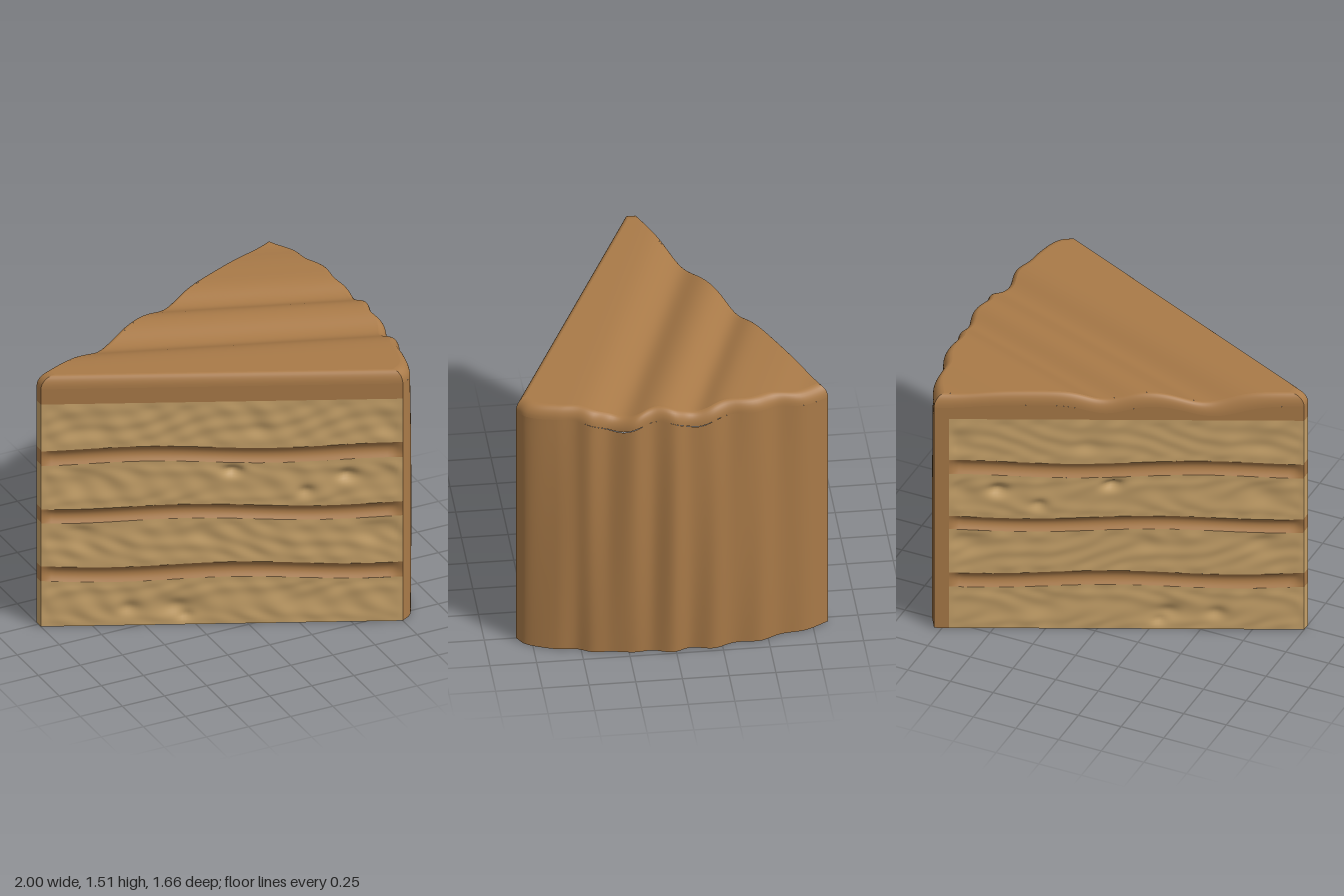
import * as THREE from 'three';

const frosting = new THREE.MeshStandardMaterial({ color: 0xa97a48 });
frosting.name = 'caramel frosting';
const sponge = new THREE.MeshStandardMaterial({ color: 0xc6a169 });
sponge.name = 'golden sponge';

const { lerp, clamp } = THREE.MathUtils;
const bell = (d) => Math.exp(-d * d);

// Wavy outer edge, listed as x, z from the front corner to the back corner
const edge = new THREE.CatmullRomCurve3([
  [0.75, 0.83], [0.82, 0.785], [0.885, 0.63], [0.905, 0.53], [0.945, 0.45], [0.945, 0.35], [0.98, 0.22],
  [0.965, 0.12], [0.995, 0.01], [0.97, -0.08], [0.98, -0.2], [0.95, -0.3], [0.94, -0.45],
  [0.89, -0.56], [0.865, -0.7], [0.79, -0.835],
].map(([x, z]) => new THREE.Vector3(x, 0, z)));

// Plan position: t runs from the tip to the outer edge, w from the front cut to the back cut
function plan(t, w, y) {
  const o = edge.getPoint(w);
  const mid = Math.min(1, 4 * w, 4 * (1 - w));
  const bulge = (-0.035 * ((y - 0.5) / 0.95) ** 2 + 0.006 * Math.sin(o.z * 22 + y * 2.5)) * mid;
  return [lerp(-1, o.x + bulge, t), lerp(lerp(0.03, -0.02, w), o.z, t)];
}

// Slanted waves on the top icing
function topHeight(x, z) {
  const u = z - 0.35 * (x - 0.92);
  return 1.512 - 0.065 * bell((u - 0.3) / 0.14) - 0.05 * bell((u + 0.12) / 0.11) - 0.02 * bell((u + 0.75) / 0.15);
}

// Surface from a rule of two parameters in 0..1
function grid(name, material, nu, nv, rule) {
  const pos = [], index = [];
  for (let j = 0; j <= nv; j++) for (let i = 0; i <= nu; i++) pos.push(...rule(i / nu, j / nv));
  for (let j = 0; j < nv; j++) for (let i = 0; i < nu; i++) {
    const a = j * (nu + 1) + i, b = a + 1, c = a + nu + 1, d = c + 1;
    index.push(a, b, d, a, d, c);
  }
  const geo = new THREE.BufferGeometry();
  geo.setAttribute('position', new THREE.Float32BufferAttribute(pos, 3));
  geo.setIndex(index);
  geo.computeVertexNormals();
  const mesh = new THREE.Mesh(geo, material);
  mesh.name = name;
  return mesh;
}

// Crumb holes in the sponge: x, y, radius, depth
const holes = [
  [-0.07, 0.93, 0.035, 0.03], [0.48, 0.89, 0.035, 0.03], [-0.8, 0.88, 0.06, 0.015], [-0.8, 0.55, 0.06, 0.014],
  [-0.8, 1.2, 0.06, 0.012], [-0.58, 0.1, 0.04, 0.022], [-0.34, 0.11, 0.045, 0.028], [-0.3, 0.05, 0.03, 0.02],
  [0.65, 0.88, 0.05, 0.012], [0.62, 0.55, 0.06, 0.015], [0.28, 0.8, 0.03, 0.018], [0.66, 1.2, 0.05, 0.012],
  [0.05, 1.18, 0.05, 0.012], [-0.25, 0.56, 0.05, 0.01], [0.25, 0.15, 0.05, 0.01],
];
function crumbs(x, y) {
  let d = 0.004 * Math.sin(x * 17 + 3 * Math.sin(y * 13)) * Math.sin(y * 31 + 2 * Math.sin(x * 9))
    + 0.002 * Math.sin(x * 41 + y * 23);
  for (const [hx, hy, r, depth] of holes) d -= depth * bell(Math.hypot((x - hx) * 0.8, y - hy) / r);
  return d;
}

// Layer boundaries from the bottom up; odd layers are filling
const levels = [0, 0.275, 0.365, 0.635, 0.72, 0.985, 1.075, 1.35];
const level = (k, x) => levels[k] + (k > 0 && k < 7 ? 0.011 * Math.sin(x * 5.2 + 1.9 + Math.floor((k - 1) / 2) * 1.1) : 0);

// One cut face, stacked layer by layer
function cutFace(name, w, tMax) {
  const group = new THREE.Group();
  group.name = name;
  const out = w === 0 ? [-0.416, 0.909] : [-0.414, -0.91];
  const strip = (label, mat, k, t0, t1, nu, nv) => group.add(grid(label, mat, nu, nv, (u, v) => {
    const t = lerp(t0, t1, w === 0 ? u : 1 - u);
    const [x, z] = plan(t, w, 0);
    const top = k === 7 ? topHeight(x, z) - 0.07 : level(k + 1, x);
    const y = lerp(level(k, x), top, v);
    const fade = Math.sin(Math.PI * v) * clamp(Math.min(t, tMax - t) * 40, 0, 1);
    const d = k === 7 ? 0 : k % 2 ? -0.02 * fade : crumbs(x, y) * Math.min(1, fade * 2);
    return [x + out[0] * d, y, z + out[1] * d];
  }));
  for (let k = 0; k < 8; k++) {
    const isSponge = k % 2 === 0;
    const label = isSponge ? 'spongeLayer' : k === 7 ? 'topIcingSide' : 'filling';
    strip(label, isSponge ? sponge : frosting, k, 0, tMax, isSponge ? 110 : 70, isSponge ? 20 : 8);
    if (tMax < 1) strip('icingEnd', frosting, k, tMax, 1, 2, 4);
  }
  return group;
}

// Perimeter sides as functions from 0..1 to plan parameters
const sides = {
  front: (u) => [u, 0], outer: (u) => [1, u], back: (u) => [1 - u, 1], tip: (u) => [0, 1 - u],
};

// Shrink towards the centre, used to round the icing over
const inset = ([x, z], s) => [lerp(x, 0.28, s), lerp(z, 0, s)];
const RIM = 0.065;

export function createModel() {
  const cake = new THREE.Group();
  cake.name = 'cakeSlice';

  cake.add(cutFace('frontCut', 0, 1), cutFace('backCut', 1, 0.96));

  // Outer icing wall and narrow tip
  const wall = (side) => (u, v) => {
    const [t, w] = sides[side](u);
    const [x0, z0] = plan(t, w, 1.44);
    const y = v * (topHeight(x0, z0) - 0.07);
    const [x, z] = plan(t, w, y);
    return [x, y, z];
  };
  cake.add(grid('outerIcing', frosting, 120, 24, wall('outer')));
  const tipColours = [[0, 0.275, sponge], [0.275, 0.365, frosting], [0.365, 0.635, sponge], [0.635, 0.72, frosting],
    [0.72, 0.985, sponge], [0.985, 1.075, frosting], [1.075, 1.35, sponge], [1.35, 1.442, frosting]];
  for (const [y0, y1, mat] of tipColours) {
    cake.add(grid('tipLayer', mat, 1, 1, (u, v) => [-1, lerp(y0, y1, v), lerp(-0.02, 0.03, u)]));
  }

  // Rounded rim of the top icing
  for (const side of Object.keys(sides)) {
    cake.add(grid(side + 'Rim', frosting, side === 'tip' ? 4 : 100, 8, (u, v) => {
      const [t, w] = sides[side](u);
      const p = plan(t, w, 1.44);
      const a = v * Math.PI / 2;
      const [x, z] = inset(p, RIM * (1 - Math.cos(a)));
      return [x, topHeight(...p) - 0.07 + 0.07 * Math.sin(a), z];
    }));
  }

  // Top icing and flat base
  cake.add(grid('topIcing', frosting, 70, 100, (u, v) => {
    const p = plan(u, v, 1.44);
    const [x, z] = inset(p, RIM);
    return [x, topHeight(...p), z];
  }));
  cake.add(grid('base', sponge, 120, 4, (u, v) => {
    const [x, z] = plan(v, u, 0);
    return [x, 0, z];
  }));

  return cake;
}
